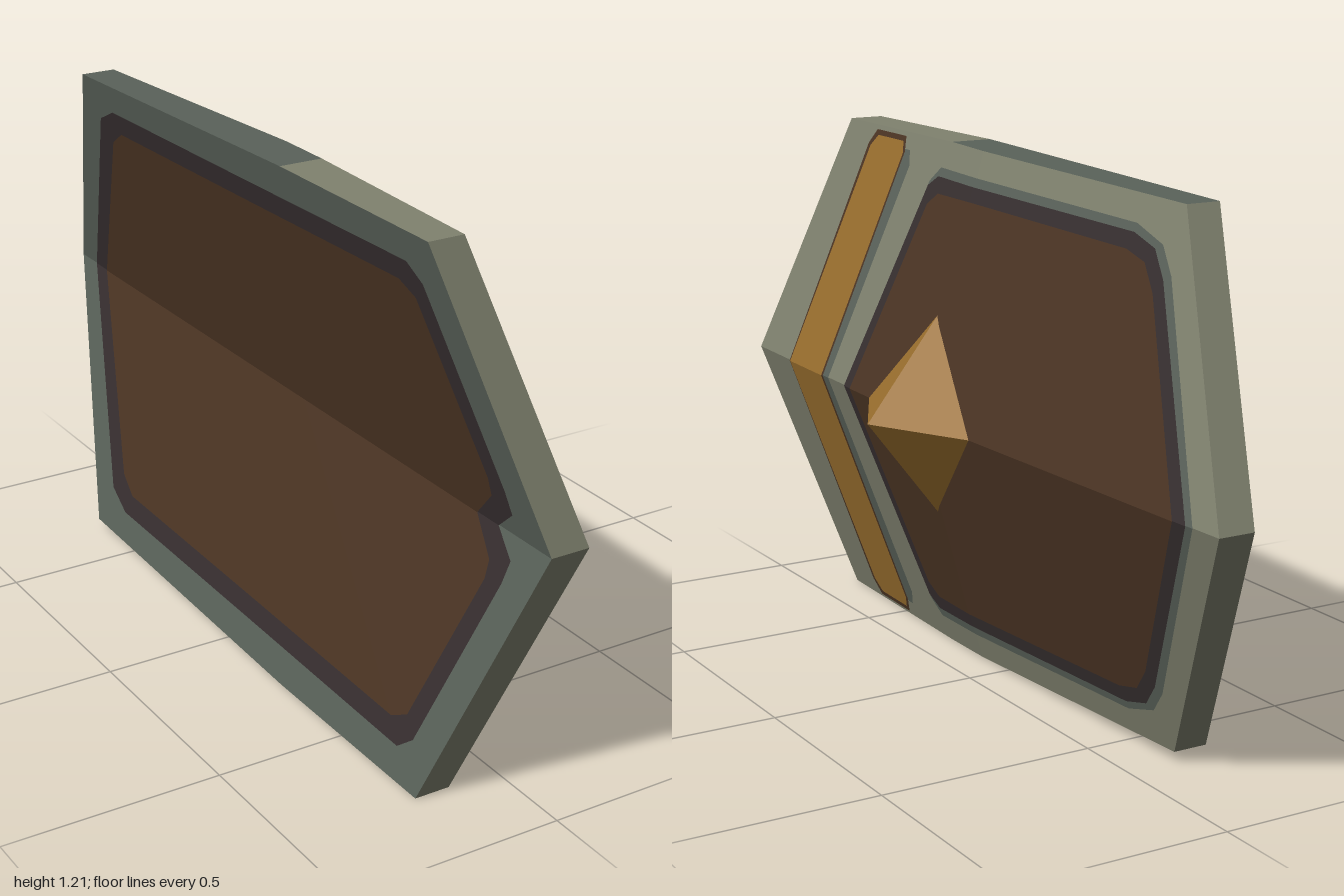
import * as THREE from 'three';

const MID = 0.605; // height of the central fold

// Surface rules: x for a given z and distance t from the fold
const outerX = (z, t) => 0.075 - 0.033 * Math.abs(z - 0.1) - 0.28 * t;
const innerX = (z, t) => -0.045 - 0.256 * t;

// Triangles for the upper half are mirrored below the fold with reversed winding
function mirrored(tris) {
  const pos = [];
  for (const [a, b, c] of tris) {
    for (const p of [a, b, c]) pos.push(p[0], MID + p[1], p[2]);
    for (const p of [a, c, b]) pos.push(p[0], MID - p[1], p[2]);
  }
  const g = new THREE.BufferGeometry();
  g.setAttribute('position', new THREE.Float32BufferAttribute(pos, 3));
  g.computeVertexNormals();
  return g;
}

// Fan of faces lying on a surface; outline is half of it as [z, t], front to back
function plate(outline, centre, surface, lift, facing) {
  const at = ([z, t]) => [surface(z, t) + lift * facing, t, z];
  const tris = [];
  for (let i = 0; i < outline.length - 1; i++) {
    const a = at(outline[i]), b = at(outline[i + 1]), c = at(centre);
    tris.push(facing > 0 ? [c, b, a] : [c, a, b]);
  }
  return mirrored(tris);
}

// Edge faces joining the outer and inner surfaces
function edge(outline) {
  const tris = [];
  for (let i = 0; i < outline.length - 1; i++) {
    const [a, b] = [outline[i], outline[i + 1]];
    const [oa, ob] = [a, b].map(([z, t]) => [outerX(z, t), t, z]);
    const [ia, ib] = [a, b].map(([z, t]) => [innerX(z, t), t, z]);
    tris.push([ia, oa, ob], [ia, ob, ib]);
  }
  return mirrored(tris);
}

export function createModel() {
  const group = new THREE.Group();
  const material = (name, color) => {
    const m = new THREE.MeshStandardMaterial({ color });
    m.name = name;
    return m;
  };
  const steel = material('pale steel', 0x80826f);
  const slate = material('dark steel', 0x5a625a);
  const shadow = material('charcoal', 0x372f30);
  const wood = material('dark wood', 0x4c3524);
  const brass = material('brass', 0x9a6f2e);
  const add = (name, geometry, mat) => {
    const mesh = new THREE.Mesh(geometry, mat);
    mesh.name = name;
    group.add(mesh);
  };

  const hub = [0.1, 0];
  const rim = [[1, 0], [0.785, 0.605], [0.25, 0.605], [0.1, 0.601], [-0.66, 0.58], [-1, 0]];

  // Body
  add('outerFace', plate(rim, hub, outerX, 0, 1), steel);
  add('innerFace', plate(rim, hub, innerX, 0, -1), slate);
  add('frontEdge', edge(rim.slice(0, 3)), steel);
  add('longEdge', edge(rim.slice(2, 5)), slate);
  add('rearEdge', edge(rim.slice(4)), steel);

  // Outer panel: thin layers, each inside the one below
  const layers = [
    ['outerPanelLine', slate, [[0.49, 0], [0.31, 0.51], [0.27, 0.545], [0.1, 0.541], [-0.52, 0.525],
      [-0.62, 0.495], [-0.67, 0.44], [-0.92, 0]]],
    ['outerPanelBorder', shadow, [[0.49, 0], [0.31, 0.5], [0.27, 0.525], [0.1, 0.521], [-0.52, 0.507],
      [-0.6, 0.485], [-0.65, 0.43], [-0.9, 0]]],
    ['outerPanel', wood, [[0.455, 0], [0.29, 0.46], [0.25, 0.488], [0.1, 0.488], [-0.51, 0.472],
      [-0.58, 0.455], [-0.63, 0.4], [-0.86, 0]]],
  ];
  layers.forEach(([name, mat, o], i) => add(name, plate(o, hub, outerX, 0.002 * (i + 1), 1), mat));

  // Inner panel with a small notch at the front of the fold
  const innerLayers = [
    ['innerPanelBorder', shadow, [[0.83, 0], [0.89, 0.05], [0.88, 0.1], [0.735, 0.5], [0.69, 0.535],
      [0.1, 0.525], [-0.54, 0.515], [-0.62, 0.48], [-0.92, 0]]],
    ['innerPanel', wood, [[0.76, 0], [0.83, 0.07], [0.83, 0.11], [0.7, 0.46], [0.65, 0.485],
      [0.1, 0.475], [-0.52, 0.465], [-0.58, 0.43], [-0.86, 0]]],
  ];
  innerLayers.forEach(([name, mat, o], i) => add(name, plate(o, hub, innerX, 0.002 * (i + 1), -1), mat));

  // Cross band near the front
  const bands = [
    ['bandLine', slate, [[0.79, 0], [0.63, 0.53], [0.6, 0.565], [0.44, 0.565], [0.425, 0.53], [0.585, 0]]],
    ['bandOutline', wood, [[0.81, 0], [0.655, 0.56], [0.625, 0.595], [0.47, 0.595], [0.46, 0.56], [0.612, 0]]],
    ['band', brass, [[0.803, 0], [0.64, 0.555], [0.61, 0.583], [0.475, 0.583], [0.465, 0.555], [0.617, 0]]],
  ];
  bands.forEach(([name, mat, o], i) => add(name, plate(o, o[0], outerX, 0.002 * (i + 1), 1), mat));

  // Pyramid boss
  const apex = [0.197, 0, 0.12];
  const front = [0.066, 0, 0.36], top = [0.005, 0.245, 0.12], back = [0.066, 0, -0.135];
  add('boss', mirrored([[apex, top, front], [apex, back, top]]), brass);

  return group;
}
